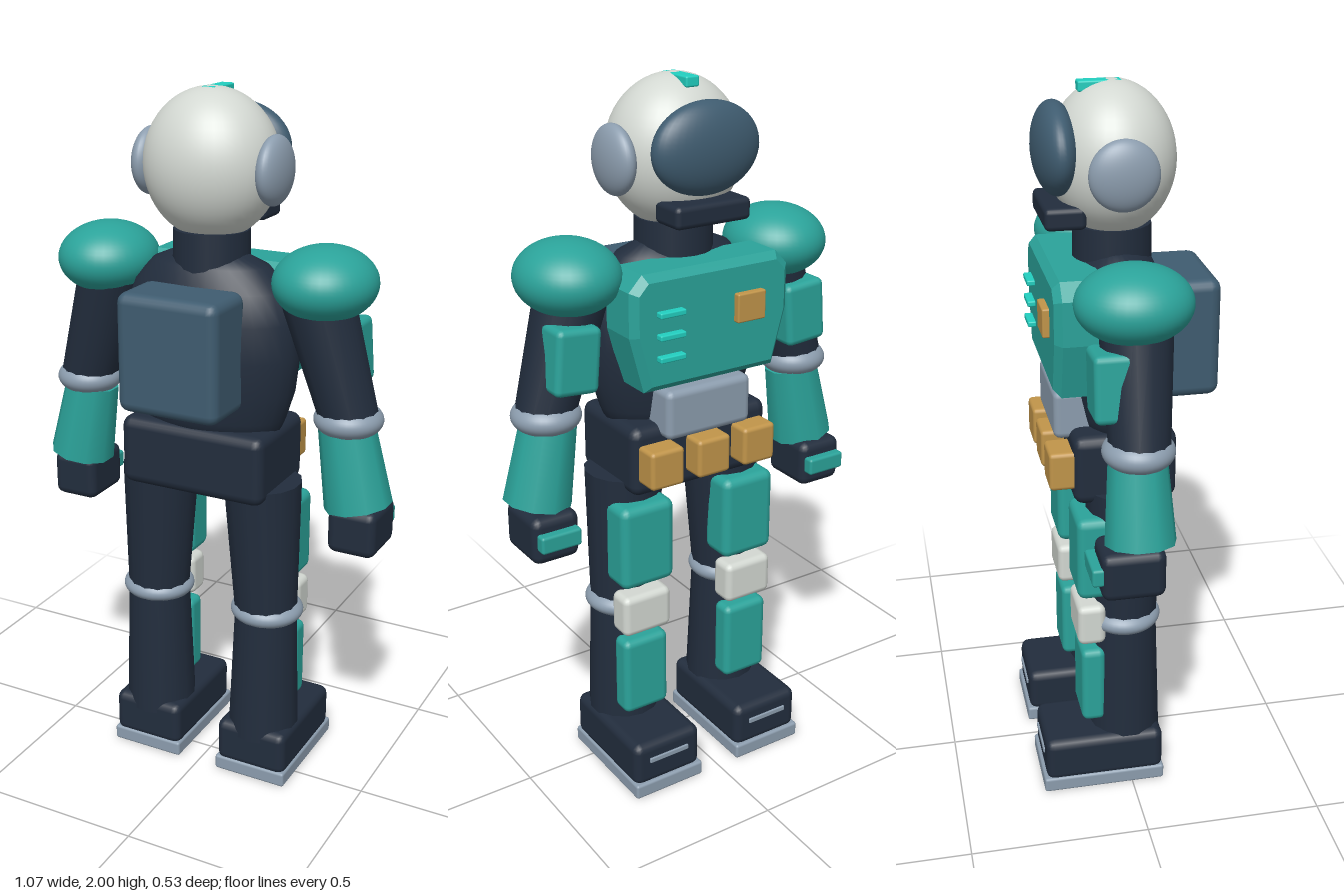
import * as THREE from 'three';
import { RoundedBoxGeometry } from 'three/addons/geometries/RoundedBoxGeometry.js';

const mat = (name, color, flatShading = false) => {
  const m = new THREE.MeshStandardMaterial({ color, flatShading });
  m.name = name;
  return m;
};

export function createModel() {
  const suit = mat('dark suit', 0x222d3d);
  const teal = mat('teal armour', 0x2ba39a);
  const glow = mat('bright teal', 0x22cfc0);
  const shell = mat('off-white shell', 0xd3d8d2);
  const grey = mat('blue grey', 0x8c9dae);
  const slate = mat('slate', 0x3f5c70);
  const tan = mat('tan', 0xc1954a);

  const model = new THREE.Group();
  model.name = 'armouredSuit';

  const add = (name, geometry, material, x, y, z) => {
    const mesh = new THREE.Mesh(geometry, material);
    mesh.name = name;
    mesh.position.set(x, y, z);
    model.add(mesh);
    return mesh;
  };
  // Chamfered box given by centre and size
  const box = (name, material, [x, y, z], [w, h, d], r = 0.02) =>
    add(name, new RoundedBoxGeometry(w, h, d, 2, r), material, x, y, z);
  const ellipsoid = (name, material, [x, y, z], [rx, ry, rz]) =>
    add(name, new THREE.SphereGeometry(1, 40, 28).scale(rx, ry, rz), material, x, y, z);
  // Tapered limb segment between two points
  const limb = (name, material, from, to, r0, r1, sides = 14) => {
    const a = new THREE.Vector3(...from), b = new THREE.Vector3(...to);
    const dir = b.clone().sub(a);
    const c = a.clone().add(b).multiplyScalar(0.5);
    const mesh = add(name, new THREE.CylinderGeometry(r1, r0, dir.length(), sides), material, c.x, c.y, c.z);
    mesh.quaternion.setFromUnitVectors(new THREE.Vector3(0, 1, 0), dir.normalize());
    return mesh;
  };

  // Helmet, with its face towards -z
  ellipsoid('helmet', shell, [0, 1.8, -0.005], [0.187, 0.2, 0.168]);
  ellipsoid('visor', slate, [0, 1.83, -0.155], [0.16, 0.12, 0.06]);
  box('chinGuard', suit, [0, 1.67, -0.145], [0.23, 0.06, 0.11], 0.015);
  box('helmetCrest', glow, [0, 1.985, -0.038], [0.04, 0.028, 0.115], 0.005);
  limb('neck', suit, [0, 1.48, -0.005], [0, 1.63, -0.005], 0.108, 0.105, 20);

  // Torso
  const profile = [[0, 1.06], [0.2, 1.06], [0.225, 1.12], [0.25, 1.2], [0.262, 1.3], [0.255, 1.4],
    [0.225, 1.48], [0.17, 1.54], [0.1, 1.57], [0, 1.57]].map(([x, y]) => new THREE.Vector2(x, y));
  add('torso', new THREE.LatheGeometry(profile, 32).scale(1, 1, 0.56), suit, 0, 0, 0);
  box('pelvis', suit, [0, 1.0, -0.008], [0.44, 0.2, 0.285], 0.03);
  box('backpack', slate, [0, 1.33, 0.175], [0.3, 0.33, 0.18], 0.03);
  box('abdomenPlate', grey, [0, 1.135, -0.13], [0.27, 0.14, 0.12], 0.02);

  // Chest plate, tapering towards the waist
  const chest = new THREE.Shape([[-0.19, 1.24], [0.19, 1.24], [0.228, 1.38], [0.228, 1.49],
    [0.2, 1.52], [-0.2, 1.52], [-0.228, 1.49], [-0.228, 1.38]].map((p) => new THREE.Vector2(...p)));
  add('chestPlate', new THREE.ExtrudeGeometry(chest, {
    depth: 0.11, bevelSize: 0.02, bevelThickness: 0.02, bevelSegments: 1,
  }), teal, 0, 0, -0.18);
  box('chestBadge', tan, [-0.11, 1.41, -0.207], [0.09, 0.08, 0.024], 0.005);
  for (const y of [1.315, 1.375, 1.435])
    box('chestBar', glow, [0.138, y, -0.21], [0.078, 0.016, 0.024], 0.004);

  // Belt pouches
  for (const x of [-0.15, 0, 0.15])
    box('beltPouch', tan, [x, 1.0, -0.175], [0.105, 0.11, 0.08], 0.012);

  for (const [side, s] of [['left', 1], ['right', -1]]) {
    const n = (part) => side + part;

    ellipsoid(n('EarPod'), grey, [s * 0.182, 1.795, -0.008], [0.04, 0.092, 0.092]);

    // Arm
    ellipsoid(n('ShoulderPad'), teal, [s * 0.33, 1.515, -0.014], [0.14, 0.1, 0.152]);
    limb(n('UpperArm'), suit, [s * 0.415, 1.14, -0.015], [s * 0.305, 1.5, -0.005], 0.08, 0.1);
    box(n('ArmPlate'), teal, [s * 0.365, 1.32, -0.08], [0.13, 0.18, 0.105], 0.018).rotation.z = s * 0.08;
    ellipsoid(n('ElbowBand'), grey, [s * 0.408, 1.15, -0.017], [0.095, 0.052, 0.095]);
    limb(n('Forearm'), teal, [s * 0.445, 0.905, -0.018], [s * 0.402, 1.13, -0.018], 0.095, 0.078, 10);
    box(n('Hand'), suit, [s * 0.445, 0.838, -0.045], [0.14, 0.135, 0.17], 0.025);
    box(n('KnucklePlate'), teal, [s * 0.445, 0.842, -0.138], [0.12, 0.05, 0.035], 0.008);

    // Leg
    limb(n('Thigh'), suit, [s * 0.178, 0.53, -0.005], [s * 0.163, 0.93, -0.002], 0.092, 0.112);
    ellipsoid(n('KneeBand'), grey, [s * 0.18, 0.53, -0.008], [0.106, 0.046, 0.104]);
    limb(n('Shin'), suit, [s * 0.175, 0.13, -0.005], [s * 0.178, 0.53, -0.005], 0.106, 0.092);
    box(n('ThighPlate'), teal, [s * 0.17, 0.745, -0.095], [0.17, 0.25, 0.11], 0.025);
    box(n('KneePlate'), shell, [s * 0.175, 0.532, -0.11], [0.155, 0.125, 0.08], 0.02);
    box(n('ShinPlate'), teal, [s * 0.175, 0.325, -0.105], [0.145, 0.24, 0.07], 0.02);

    // Boot
    box(n('Boot'), suit, [s * 0.175, 0.1, -0.08], [0.22, 0.135, 0.345], 0.025);
    box(n('Sole'), grey, [s * 0.175, 0.0225, -0.083], [0.226, 0.045, 0.355], 0.008);
    box(n('ToeStripe'), grey, [s * 0.175, 0.115, -0.253], [0.13, 0.016, 0.009], 0.003);
  }
  return model;
}
